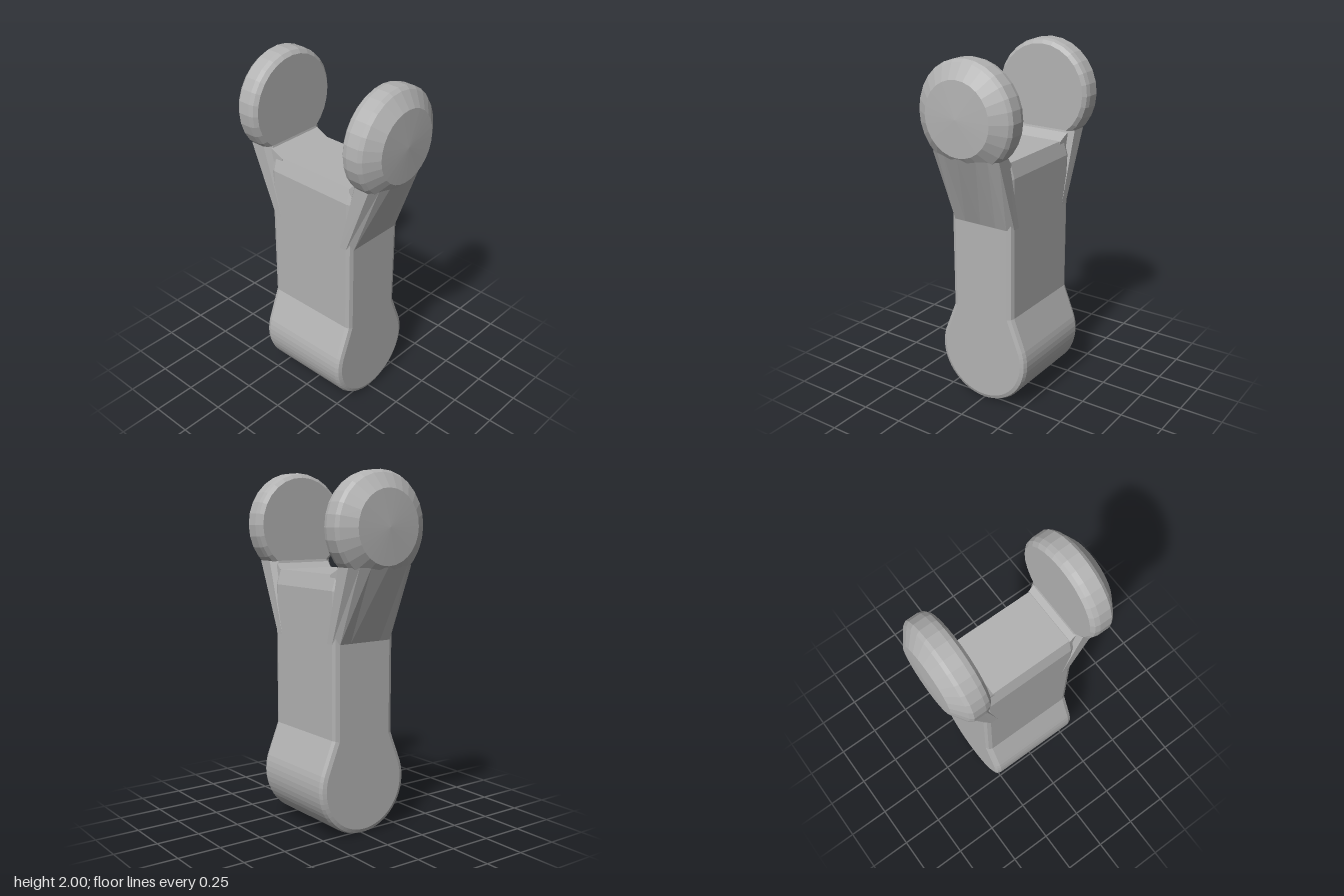
import * as THREE from 'three';

const steel = new THREE.MeshStandardMaterial({ color: 0xb2b2b2, flatShading: true });
steel.name = 'plain grey';

function part(name, geometry) {
  const mesh = new THREE.Mesh(geometry, steel);
  mesh.name = name;
  return mesh;
}

// Keyhole-shaped arm: round lower lobe and straight neck, bevelled all round
function armBody() {
  const s = new THREE.Shape();
  const cy = 0.287, r = 0.287, a = 0.42;
  s.moveTo(0.175, 1.455);
  s.lineTo(-0.175, 1.455);
  s.lineTo(-0.2, 1.37);
  s.lineTo(-0.2, 0.56);
  s.absarc(0, cy, r, Math.PI - a, Math.PI * 2 + a, false);
  s.lineTo(0.2, 0.56);
  s.lineTo(0.2, 1.37);
  s.closePath();
  const g = new THREE.ExtrudeGeometry(s, {
    depth: 0.53, curveSegments: 18, bevelEnabled: true,
    bevelThickness: 0.03, bevelSize: 0.03, bevelOffset: -0.03, bevelSegments: 2,
  });
  return g.translate(0, 0, -0.265);
}

// Flared prong: half sections as [x, z], from the inner face to the outer middle
function prong() {
  const low = [[0.17, 0.2], [0.2, 0.22], [0.2, 0.265], [0.17, 0.297], [0.1, 0.297], [0, 0.297]];
  const high = [[0.17, 0.3], [0.21, 0.33], [0.212, 0.42], [0.16, 0.449], [0.1, 0.47], [0, 0.488]];
  const ring = (half, y) => [
    ...half.map(([x, z]) => [x, y, z]),
    ...half.slice(0, -1).reverse().map(([x, z]) => [-x, y, z]),
  ];
  const A = ring(low, 1.085), B = ring(high, 1.5), pos = [];
  for (let i = 0; i < A.length; i++) {
    const j = (i + 1) % A.length;
    pos.push(...A[i], ...B[i], ...A[j], ...A[j], ...B[i], ...B[j]);
  }
  const g = new THREE.BufferGeometry();
  g.setAttribute('position', new THREE.Float32BufferAttribute(pos, 3));
  g.computeVertexNormals();
  return g;
}

// Round lug with a flat inner face and a sloped, domed outer face
function lug() {
  const profile = [[0, 0.3], [0.268, 0.3], [0.288, 0.318], [0.295, 0.345], [0.295, 0.415],
    [0.28, 0.435], [0.2, 0.49], [0, 0.5]].map(([r, h]) => new THREE.Vector2(r, h));
  return new THREE.LatheGeometry(profile, 28).rotateX(Math.PI / 2).translate(0, 1.705, 0);
}

// Small sloped fillet between the arm's top and a prong, run across x
function fillet(run) {
  const s = new THREE.Shape();
  s.moveTo(-0.3, 1.4);
  s.lineTo(-0.3 + run, 1.4);
  s.lineTo(-0.3 + run, 1.452);
  s.lineTo(-0.3, 1.49);
  s.closePath();
  return new THREE.ExtrudeGeometry(s, { depth: 0.36, bevelEnabled: false })
    .translate(0, 0, -0.18).rotateY(-Math.PI / 2);
}

export function createModel() {
  const model = new THREE.Group();
  model.name = 'forkedLink';
  model.add(part('armBody', armBody()));

  for (const [side, turn, run] of [['front', 0, 0.035], ['back', Math.PI, 0.08]]) {
    const fork = new THREE.Group();
    fork.name = side + 'Fork';
    const corner = part(side + 'Fillet', fillet(run));
    corner.rotation.y = Math.PI;
    fork.add(part(side + 'Prong', prong()), part(side + 'Lug', lug()), corner);
    fork.rotation.y = turn;
    model.add(fork);
  }
  return model;
}
